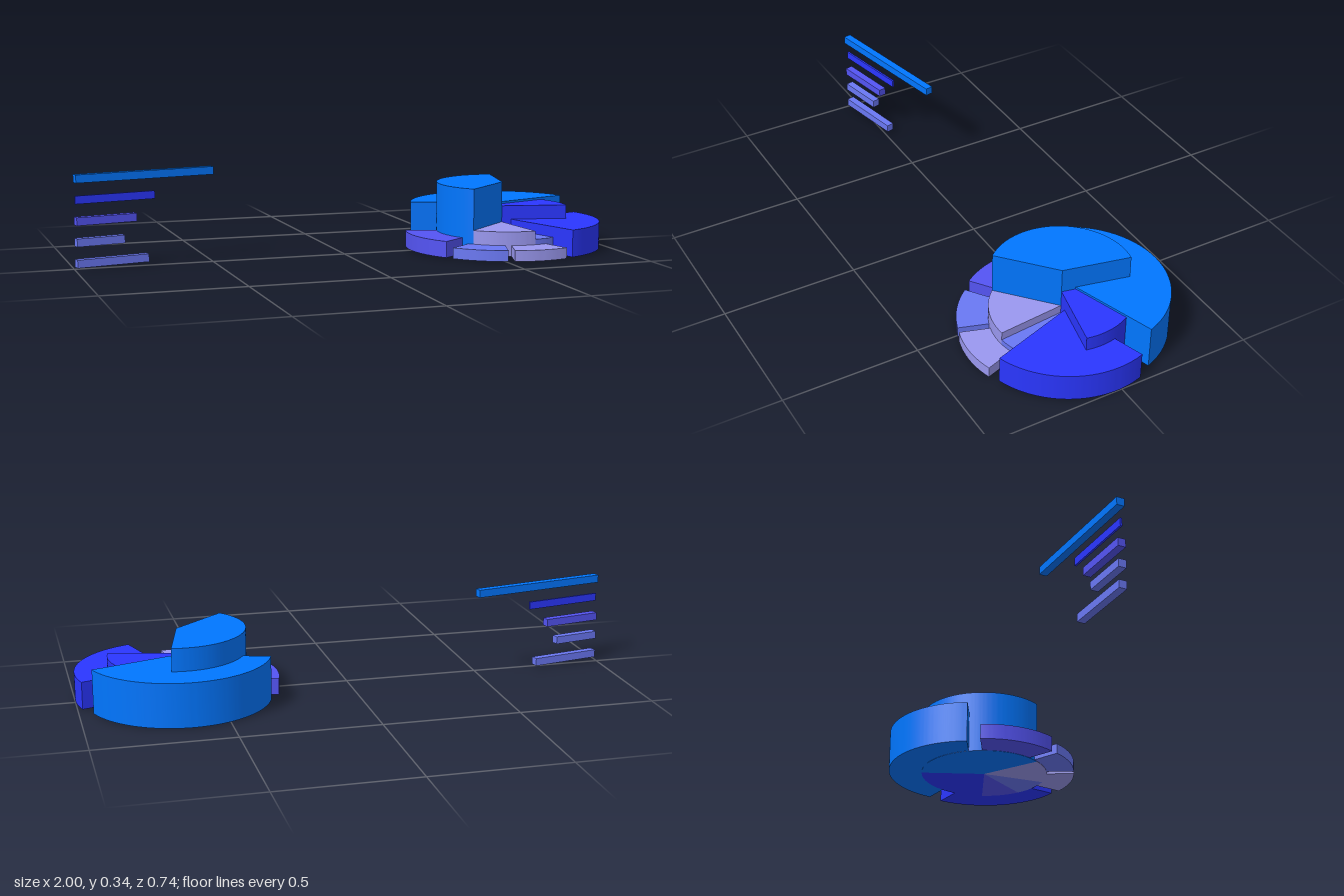
import * as THREE from 'three';
import { toCreasedNormals } from 'three/addons/utils/BufferGeometryUtils.js';

const rad = THREE.MathUtils.degToRad;
const BLUE = 0x0076ff, INDIGO = 0x2a36ff, VIOLET = 0x5454f4, PERIWINKLE = 0x6a78f4, LILAC = 0x9a98f0;

const paint = (geometry, color, name) => {
  const mesh = new THREE.Mesh(geometry, new THREE.MeshStandardMaterial({ color }));
  mesh.name = name;
  return mesh;
};

// Upright pie wedge, angles in degrees anticlockwise seen from above
function wedge(radius, start, sweep, height) {
  const a = rad(start), b = rad(start + sweep);
  const shape = new THREE.Shape();
  shape.moveTo(0, 0);
  shape.lineTo(radius * Math.cos(a), radius * Math.sin(a));
  shape.absarc(0, 0, radius, a, b, false);
  shape.lineTo(0, 0);
  const curveSegments = Math.ceil(sweep / 3);
  const geo = new THREE.ExtrudeGeometry(shape, { depth: height, bevelEnabled: false, curveSegments });
  geo.rotateX(-Math.PI / 2);
  return toCreasedNormals(geo, rad(30));
}

// Pie of [percent, colour] slices; height follows the share, slices are pushed outward
function pie(name, radius, start, tall, explode, slices) {
  const group = new THREE.Group();
  group.name = name;
  let angle = start;
  slices.forEach(([percent, color], i) => {
    const sweep = percent * 3.6;
    const mid = rad(angle + sweep / 2);
    const slice = paint(wedge(radius, angle, sweep, tall * percent / 40), color, `${name}Slice${i + 1}`);
    slice.position.set(Math.cos(mid) * explode, 0, -Math.sin(mid) * explode);
    group.add(slice);
    angle += sweep;
  });
  return group;
}

export function createModel() {
  const model = new THREE.Group();
  model.name = 'pieChartWithBars';

  // Low exploded pie
  const outer = pie('outerPie', 0.334, 18, 0.161, 0.037,
    [[40, BLUE], [15, VIOLET], [10, PERIWINKLE], [10, LILAC], [25, INDIGO]]);
  outer.position.set(0.632, 0.001, 0);

  // Taller closed pie in the middle
  const inner = pie('innerPie', 0.25, 77.5, 0.246, 0,
    [[40, BLUE], [15, LILAC], [10, PERIWINKLE], [10, VIOLET], [25, INDIGO]]);
  inner.position.set(0.63, 0, 0.01);
  model.add(outer, inner);

  // Floating stack of bars sharing one left end: [length, depth, colour], bottom to top
  const bars = new THREE.Group();
  bars.name = 'barChart';
  [
    [0.268, 0.0287, PERIWINKLE],
    [0.178, 0.0287, PERIWINKLE],
    [0.224, 0.0287, VIOLET],
    [0.298, 0.0075, INDIGO],
    [0.525, 0.0287, BLUE],
  ].forEach(([length, depth, color], i) => {
    const bar = paint(new THREE.BoxGeometry(length, 0.0287, depth), color, `bar${i + 1}`);
    bar.position.set(length / 2, 0.025 + i * 0.0747, 0);
    bars.add(bar);
  });
  bars.position.set(-0.997, 0, 0.031);
  bars.rotation.y = rad(11.5);
  model.add(bars);
  return model;
}
